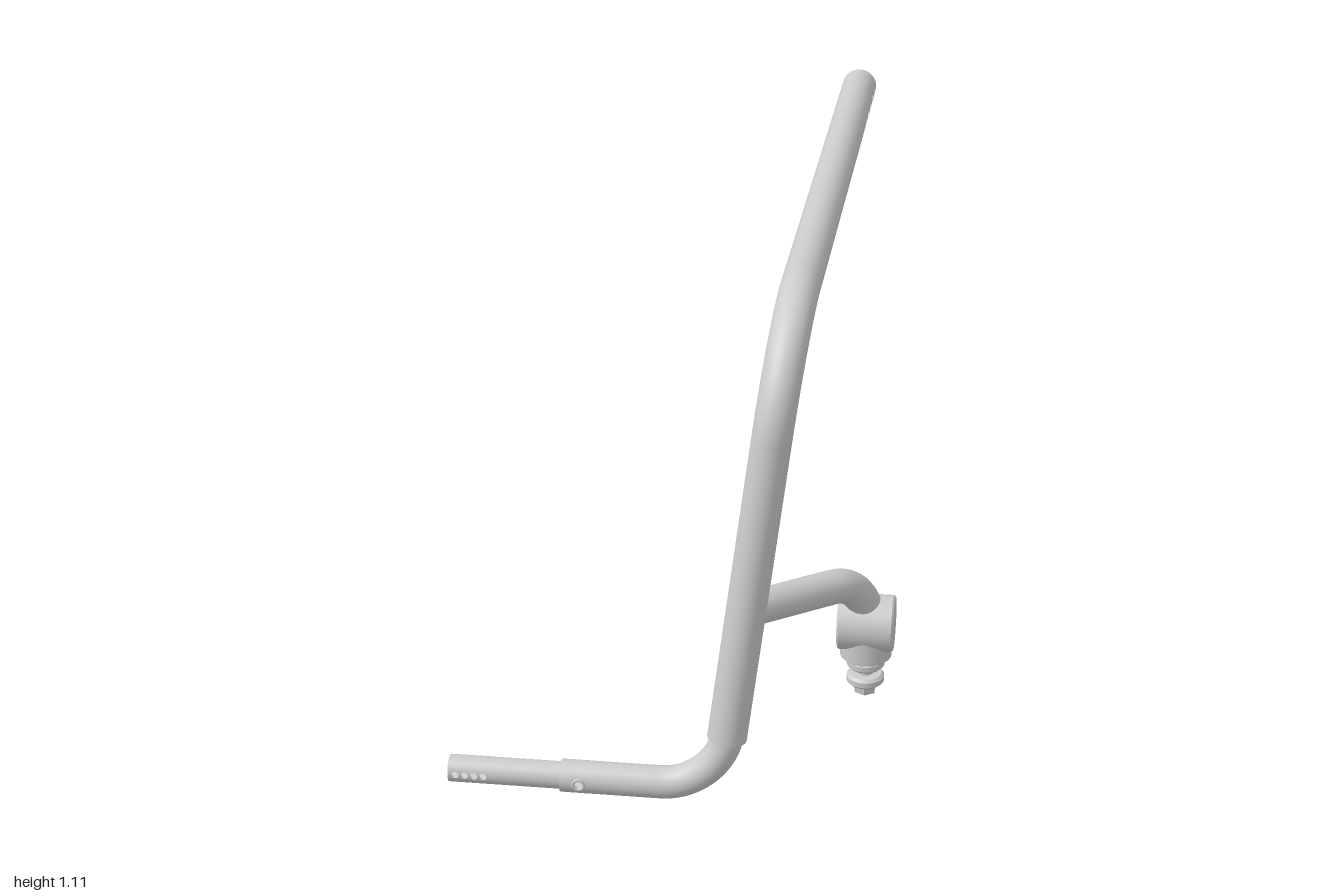
import * as THREE from 'three';
import { mergeGeometries } from 'three/addons/utils/BufferGeometryUtils.js';

const V = (x, y, z) => new THREE.Vector3(x, y, z);
const UP = V(0, 1, 0);
const material = new THREE.MeshStandardMaterial({ color: 0xcccccc, side: THREE.DoubleSide });

function add(parent, name, geometry, x = 0, y = 0, z = 0) {
  const mesh = new THREE.Mesh(geometry, material);
  mesh.name = name;
  mesh.position.set(x, y, z);
  parent.add(mesh);
  return mesh;
}

// Straight, round bend, straight; t is the distance from corner to bend start
function bentPath(a, corner, b, t) {
  const d1 = a.clone().sub(corner).normalize(), d2 = b.clone().sub(corner).normalize();
  const on = (d, k) => corner.clone().addScaledVector(d, k);
  const p = on(d1, t), q = on(d2, t), k = t * 0.45;
  const path = new THREE.CurvePath();
  path.add(new THREE.LineCurve3(a, p));
  path.add(new THREE.CubicBezierCurve3(p, on(d1, k), on(d2, k), q));
  path.add(new THREE.LineCurve3(q, b));
  return path;
}

// Grid surface from f(u, v); the front faces along du x dv unless flipped
function grid(nu, nv, f, flip = false, radial = 0) {
  const pos = [], index = [];
  for (let i = 0; i <= nu; i++) for (let j = 0; j <= nv; j++) pos.push(...f(i / nu, j / nv));
  for (let i = 0; i < nu; i++) for (let j = 0; j < nv; j++) {
    const a = i * (nv + 1) + j, b = a + nv + 1;
    if (flip) index.push(a, a + 1, b, b, a + 1, b + 1);
    else index.push(a, b, a + 1, b, b + 1, a + 1);
  }
  const g = new THREE.BufferGeometry();
  g.setAttribute('position', new THREE.Float32BufferAttribute(pos, 3));
  g.setIndex(index);
  g.computeVertexNormals();
  if (radial) { // exact normals for cylinder walls
    const n = g.attributes.normal;
    for (let i = 0; i < n.count; i++) {
      const x = pos[i * 3], z = pos[i * 3 + 2], s = radial / Math.hypot(x, z);
      n.setXYZ(i, x * s, 0, z * s);
    }
  }
  return g;
}

// Hollow tube along +y with a row of round holes drilled straight through at angle `phase`
function drilledTube({ ro, ri, lead, pitch, count, tail, hole, phase }) {
  const A = 0.6, parts = [], mid = pitch * count, total = lead + mid + tail;
  const at = (r, y, th) => [r * Math.cos(th + phase), y, r * Math.sin(th + phase)];
  const wall = (r, y0, h, t0, span, sign) => {
    if (h > 0) parts.push(grid(1, 28, (u, v) => at(r, y0 + u * h, t0 + v * span), sign < 0, sign));
  };
  for (const [r, sign] of [[ro, 1], [ri, -1]]) {
    wall(r, 0, lead, 0, Math.PI * 2, sign);
    wall(r, lead + mid, tail, 0, Math.PI * 2, sign);
    for (const side of [0, Math.PI]) {
      wall(r, lead, mid, side + A, Math.PI - 2 * A, sign);
      for (let i = 0; i < count; i++) {
        const yc = lead + pitch * (i + 0.5);
        // Wall patch running from the round hole out to a square border
        parts.push(grid(4, 32, (u, v) => {
          const c = Math.cos(v * Math.PI * 2), s = Math.sin(v * Math.PI * 2);
          const m = Math.max(Math.abs(c), Math.abs(s));
          const p = THREE.MathUtils.lerp(hole * c, pitch / 2 * c / m, u);
          const q = THREE.MathUtils.lerp(hole * s / r, A * s / m, u);
          return at(r, yc + p, side + q);
        }, sign < 0, sign));
        if (sign > 0) parts.push(grid(1, 32, (u, v) => { // hole edge
          const a = v * Math.PI * 2, rr = ro + (ri - ro) * u;
          return at(rr, yc + hole * Math.cos(a), side + hole * Math.sin(a) / rr);
        }, true));
      }
    }
  }
  // End rings
  for (const y of [0, total])
    parts.push(grid(1, 40, (u, v) => at(ri + (ro - ri) * u, y, v * Math.PI * 2), y > 0));
  return mergeGeometries(parts);
}

// Flat ring closing a tube end
function endRing(parent, name, ro, ri, p, dir) {
  const ring = add(parent, name, new THREE.RingGeometry(ri, ro, 40), p.x, p.y, p.z);
  ring.quaternion.setFromUnitVectors(V(0, 0, 1), dir);
}

export function createModel() {
  const model = new THREE.Group();
  model.name = 'tubularBracket';

  // Main tube: leaning upright, large bend and long rear arm
  const foot = V(0.134, 0.155, 0.952), top = V(0.249, 1.097, 0.856), rear = V(0.243, 0.909, -0.995);
  const lean = top.clone().sub(foot).normalize();
  const back = rear.clone().sub(top).normalize();
  const drillStart = rear.clone().addScaledVector(back, -0.37);
  add(model, 'mainTube', new THREE.TubeGeometry(bentPath(foot, top, drillStart, 0.25), 140, 0.043, 36));
  endRing(model, 'mainTubeFootRing', 0.043, 0.034, foot, lean.clone().negate());
  const rearEnd = add(model, 'rearDrilledEnd', drilledTube({
    ro: 0.043, ri: 0.036, lead: 0, pitch: 0.0726, count: 5, tail: 0.007, hole: 0.016, phase: 0,
  }), ...drillStart.toArray());
  rearEnd.quaternion.setFromUnitVectors(UP, back);

  // Lower tube: elbow plugged into the upright, then a straight cross-drilled sleeve
  const ly = 0.037, lz = 0.962;
  const elbow = bentPath(V(-0.03, ly, lz), V(0.12, ly, lz), foot.clone().addScaledVector(lean, 0.1), 0.13);
  add(model, 'lowerElbow', new THREE.TubeGeometry(elbow, 60, 0.036, 36));
  const sleeve = add(model, 'lowerSleeve', drilledTube({
    ro: 0.036, ri: 0.0295, lead: 0.023, pitch: 0.04, count: 1, tail: 0.135, hole: 0.011, phase: Math.PI / 2,
  }), -0.228, ly, lz);
  sleeve.rotation.z = -Math.PI / 2;

  // Collars around the sleeve hole, front and back
  for (const s of [1, -1])
    add(model, 'holeCollar', new THREE.TorusGeometry(0.012, 0.0035, 10, 32), -0.185, ly, lz + s * 0.035);

  // Thin insert tube with four adjusting holes
  const insert = add(model, 'insertTube', drilledTube({
    ro: 0.03, ri: 0.025, lead: 0.006, pitch: 0.0206, count: 4, tail: 0.177, hole: 0.008, phase: Math.PI / 2,
  }), -0.475, ly, lz);
  insert.rotation.z = -Math.PI / 2;

  // Side arm curving down into the joint
  const jx = 0.409, jy = 0.293, jz = 0.661;
  const armPath = bentPath(V(0.171, 0.458, 0.921), V(jx, 0.405, jz), V(jx, jy, jz), 0.105);
  add(model, 'sideArm', new THREE.TubeGeometry(armPath, 70, 0.038, 32));

  // Joint: crosswise barrel with chamfered rims and a downward socket
  const joint = new THREE.Group();
  joint.name = 'joint';
  joint.position.set(jx, 0, jz);
  model.add(joint);
  const lathe = pts => new THREE.LatheGeometry(pts.map(([r, y]) => new THREE.Vector2(r, y)), 40);
  const disc = (r, y0, y1, c) => mergeGeometries([ // sharp-edged chamfered disc
    lathe([[0, y0], [r - c, y0]]), lathe([[r - c, y0], [r, y0 + c]]),
    lathe([[r, y0 + c], [r, y1 - c]]), lathe([[r, y1 - c], [r - c, y1]]), lathe([[r - c, y1], [0, y1]]),
  ]);
  add(joint, 'barrel', disc(0.063, -0.062, 0.062, 0.004), 0, jy, 0).rotation.z = Math.PI / 2;
  add(joint, 'socket', disc(0.057, 0.211, 0.295, 0.002));

  // Stud with two washers and a hex nut
  add(joint, 'stud', disc(0.017, 0.113, 0.22, 0.003));
  add(joint, 'upperWasher', disc(0.042, 0.182, 0.206, 0.006));
  add(joint, 'lowerWasher', disc(0.042, 0.141, 0.165, 0.006));
  const nut = new THREE.CylinderGeometry(0.028, 0.025, 0.02, 6).toNonIndexed();
  nut.computeVertexNormals();
  add(joint, 'hexNut', nut, 0, 0.128, 0);

  return model;
}
